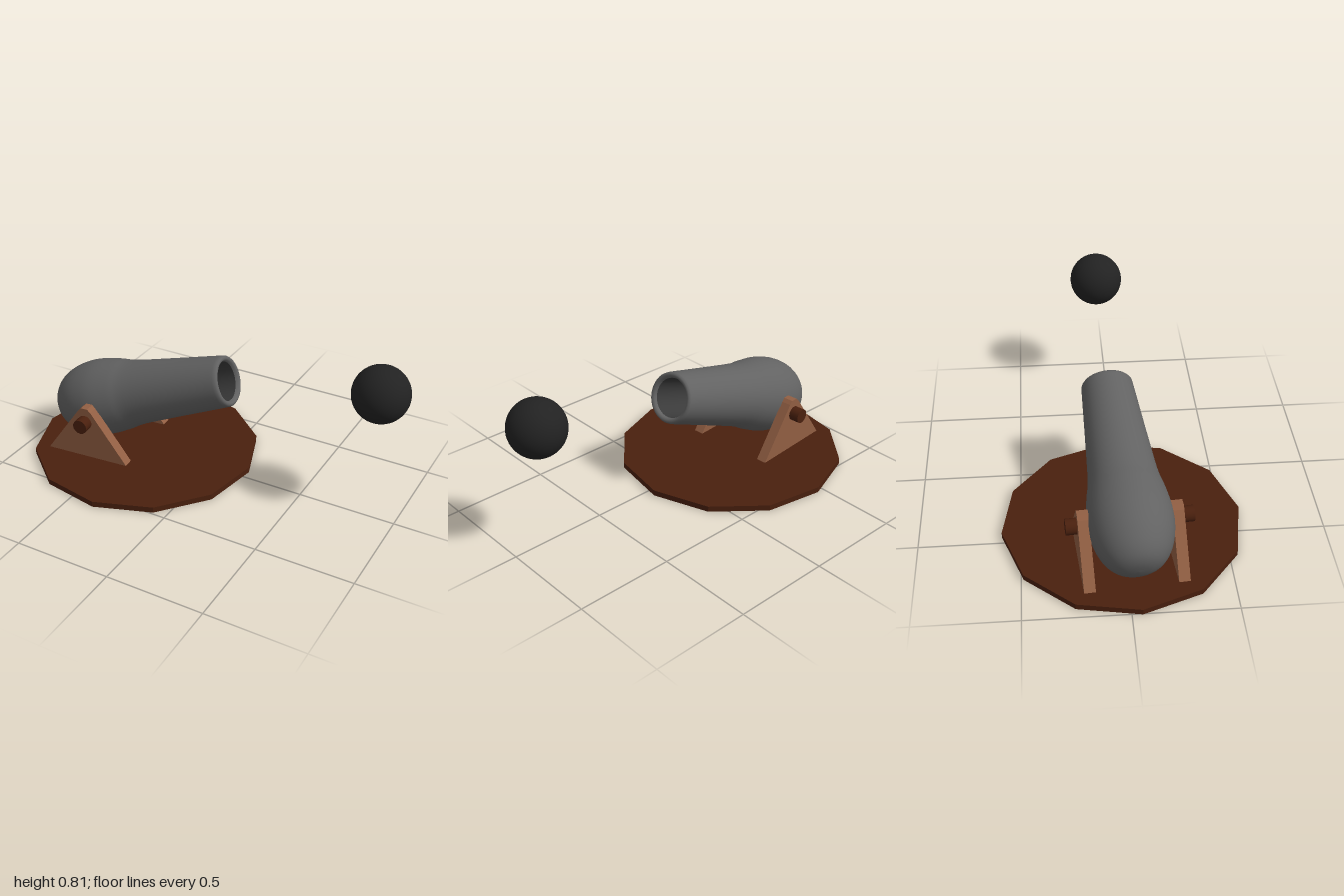
import * as THREE from 'three';

const material = (name, color) => {
  const m = new THREE.MeshStandardMaterial({ color });
  m.name = name;
  return m;
};

export function createModel() {
  const iron = material('iron', 0x626262);
  const boreIron = material('dark bore', 0x3a3a3a);
  const black = material('black ball', 0x222222);
  const darkWood = material('dark wood', 0x4a200e);
  const lightWood = material('light wood', 0x925f43);

  const model = new THREE.Group();
  model.name = 'cannonAndBall';
  const cannon = new THREE.Group();
  cannon.name = 'cannon';
  cannon.position.x = -0.41;
  cannon.rotation.y = 0.085;
  model.add(cannon);

  const add = (parent, name, geometry, mat, x = 0, y = 0, z = 0) => {
    const mesh = new THREE.Mesh(geometry, mat);
    mesh.name = name;
    mesh.position.set(x, y, z);
    parent.add(mesh);
    return mesh;
  };

  // Twelve-sided base with flat sides
  const base = new THREE.CylinderGeometry(0.596, 0.596, 0.03, 12).toNonIndexed();
  base.computeVertexNormals();
  add(cannon, 'base', base, darkWood, 0, 0.015, 0);

  // Triangular supports with chamfered tips, and a trunnion through each
  const pivotX = -0.226;
  const half = [[0.232, 0.028], [0.036, 0.303], [0.018, 0.32]];
  const outline = [...half, ...half.map(([x, y]) => [-x, y]).reverse()];
  const shape = new THREE.Shape(outline.map(([x, y]) => new THREE.Vector2(x, y)));
  const thickness = 0.055;
  const supportGeo = new THREE.ExtrudeGeometry(shape, { depth: thickness, bevelEnabled: false });
  supportGeo.translate(0, 0, -thickness / 2);
  const trunnionGeo = new THREE.CylinderGeometry(0.039, 0.039, 0.15, 16);
  trunnionGeo.rotateX(Math.PI / 2);
  for (const [side, s] of [['left', 1], ['right', -1]]) {
    add(cannon, side + 'Support', supportGeo, lightWood, pivotX, 0, s * 0.223);
    add(cannon, side + 'Trunnion', trunnionGeo, darkWood, pivotX, 0.24, s * 0.23);
  }

  // Barrel: bulging breech, tapering to a rounded muzzle rim
  const barrel = new THREE.Group();
  barrel.name = 'barrel';
  barrel.position.set(pivotX, 0.265, 0);
  barrel.rotation.z = THREE.MathUtils.degToRad(20 - 90);
  cannon.add(barrel);
  const points = (list) => list.map(([r, h]) => new THREE.Vector2(r, h));
  const body = new THREE.SplineCurve(points([
    [0, -0.285], [0.06, -0.279], [0.11, -0.258], [0.15, -0.218], [0.178, -0.165],
    [0.196, -0.105], [0.204, -0.035], [0.202, 0.03], [0.188, 0.12], [0.17, 0.21],
    [0.153, 0.42], [0.14, 0.6], [0.131, 0.725],
  ])).getPoints(48);
  body[0].x = 0;
  const rim = points([[0.129, 0.739], [0.122, 0.748], [0.112, 0.749], [0.104, 0.742], [0.1, 0.73]]);
  add(barrel, 'barrelBody', new THREE.LatheGeometry([...body, ...rim], 40), iron);
  const bore = points([[0.1, 0.73], [0.097, 0.6], [0.095, 0.4], [0.08, 0.37], [0, 0.36]]);
  add(barrel, 'bore', new THREE.LatheGeometry(bore, 40), boreIron);

  // Ball in flight
  add(model, 'ball', new THREE.SphereGeometry(0.14, 40, 28), black, 0.86, 0.667, -0.046);

  return model;
}
